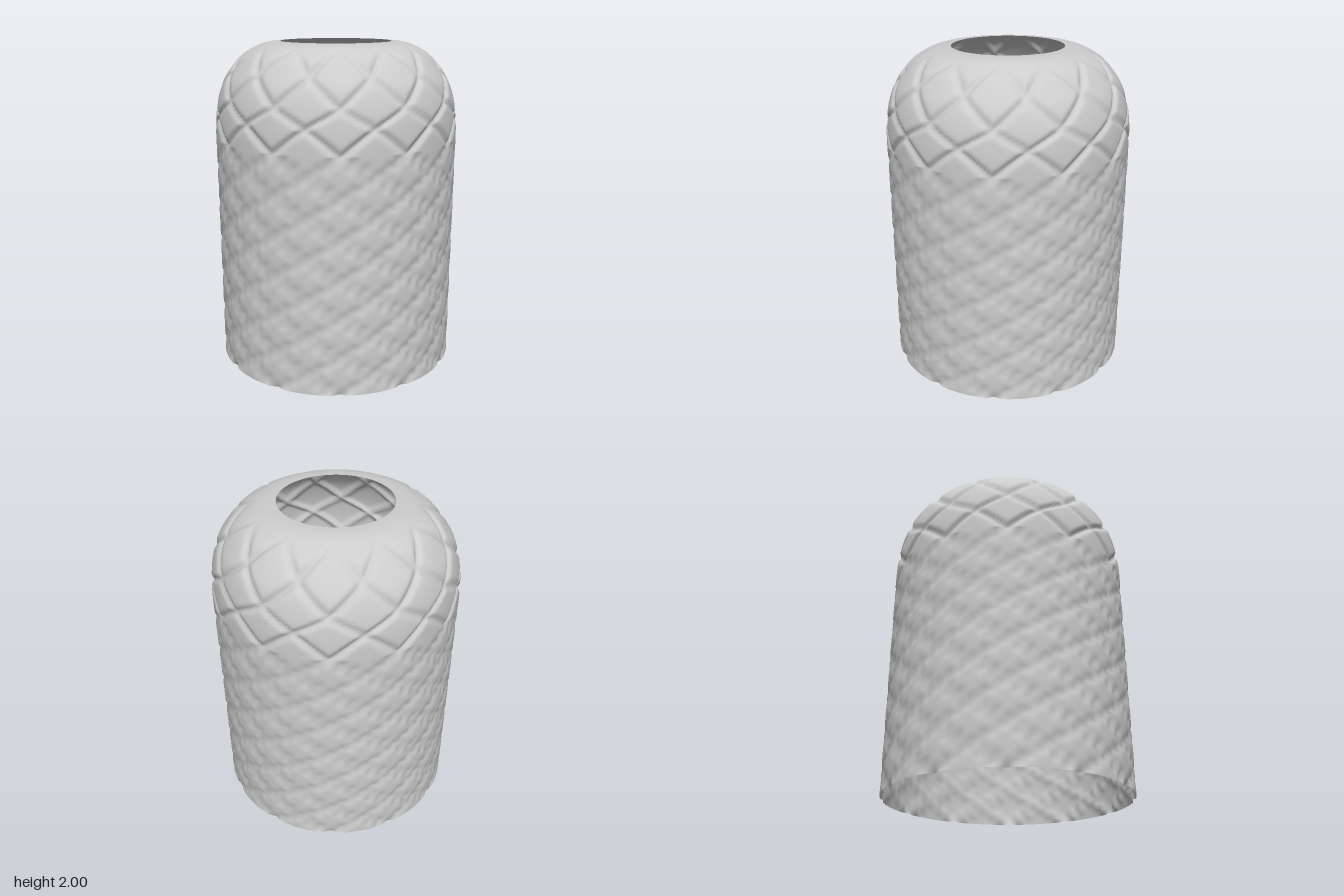
import * as THREE from 'three';

const SEGMENTS = 240;   // around the shade
const LINES = 12;       // spiral grooves in each direction
const DEPTH = 0.02;

// Profile knots: radius, height, and groove phase (grooves cross at whole phases)
const dome = new THREE.CatmullRomCurve3([
  [0.75, 1.42, 12], [0.748, 1.5, 12.5], [0.742, 1.57, 13], [0.722, 1.68, 14],
  [0.69, 1.77, 14.55], [0.645, 1.84, 15], [0.58, 1.915, 15.4],
  [0.48, 1.975, 16], [0.41, 1.995, 16.5], [0.34, 2, 17],
].map(k => new THREE.Vector3(...k)), false, 'centripetal');

// Distance from the nearest multiple of two
const offLine = v => Math.abs(v - 2 * Math.round(v / 2));

function quiltedShell() {
  const rings = [];
  for (let i = 0; i < 36; i++) rings.push(new THREE.Vector3(0.75, 1.42 * i / 36, 12 * i / 36));
  for (let i = 0; i <= 60; i++) rings.push(dome.getPoint(i / 60));

  const position = [], index = [];
  rings.forEach(({ x: radius, y, z: phase }, j) => {
    // Outward normal of the profile
    const a = rings[Math.max(j - 1, 0)], b = rings[Math.min(j + 1, rings.length - 1)];
    const length = Math.hypot(b.x - a.x, b.y - a.y);
    const nr = (b.y - a.y) / length, ny = (a.x - b.x) / length;
    // Grooves die out towards the top opening
    const fade = 1 - THREE.MathUtils.smoothstep(phase, 15.1, 16.2);
    for (let i = 0; i < SEGMENTS; i++) {
      const u = i / SEGMENTS * LINES * 2;
      const d = Math.min(offLine(u - phase), offLine(u + phase));
      const sink = DEPTH * fade * Math.exp(-((d / 0.15) ** 2));
      const r = radius - nr * sink, angle = i / SEGMENTS * Math.PI * 2;
      position.push(r * Math.sin(angle), y - ny * sink, r * Math.cos(angle));
      if (j < rings.length - 1) {
        const k = (i + 1) % SEGMENTS, row = j * SEGMENTS, next = row + SEGMENTS;
        index.push(row + i, row + k, next + k, row + i, next + k, next + i);
      }
    }
  });

  const geometry = new THREE.BufferGeometry();
  geometry.setAttribute('position', new THREE.Float32BufferAttribute(position, 3));
  geometry.setIndex(index);
  geometry.computeVertexNormals();
  return geometry;
}

export function createModel() {
  const group = new THREE.Group();
  const grey = new THREE.MeshStandardMaterial({ color: 0xcccccc, side: THREE.DoubleSide });
  grey.name = 'light grey';

  // Thin open shade with crossing spiral grooves
  const shade = new THREE.Mesh(quiltedShell(), grey);
  shade.name = 'shade';
  group.add(shade);

  // Faceted globe hanging inside, seen through the top opening
  const globe = new THREE.Mesh(new THREE.IcosahedronGeometry(0.38, 5), grey);
  globe.geometry.computeVertexNormals(); // unshared corners give flat facets
  globe.name = 'globe';
  globe.position.y = 1.1;
  group.add(globe);

  return group;
}
